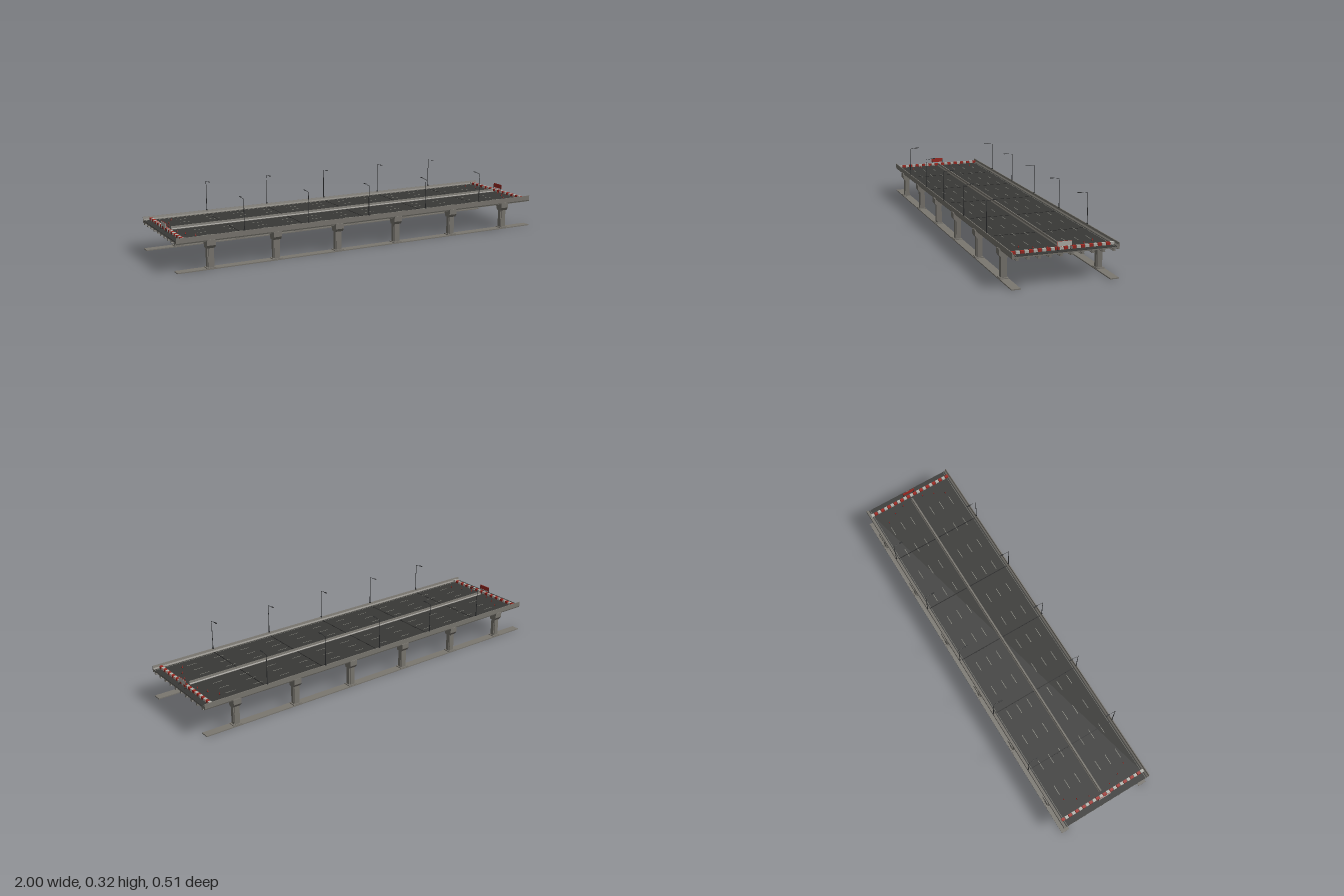
import * as THREE from 'three';

const paint = (color) => new THREE.MeshStandardMaterial({ color });
const concrete = paint(0x7a7770);
const asphalt = paint(0x383836);
const steel = paint(0x2c2d2e);
const lineWhite = paint(0x85857c);
const red = paint(0xa02820);
const white = paint(0xb4b3ac);
const darkJoint = paint(0x1e1e1e);

function add(parent, name, geometry, material, x = 0, y = 0, z = 0) {
  const mesh = new THREE.Mesh(geometry, material);
  mesh.name = name;
  mesh.position.set(x, y, z);
  parent.add(mesh);
  return mesh;
}

function box(parent, name, material, sx, sy, sz, x, y, z) {
  return add(parent, name, new THREE.BoxGeometry(sx, sy, sz), material, x, y, z);
}

// Sweeps a [z, y] outline along x, centred on x = 0
function sweep(outline, length) {
  const shape = new THREE.Shape(outline.map(([z, y]) => new THREE.Vector2(-z, y)));
  const geometry = new THREE.ExtrudeGeometry(shape, { depth: length, bevelEnabled: false });
  geometry.translate(0, 0, -length / 2);
  return geometry.rotateY(Math.PI / 2);
}

const mirrorZ = (outline, side) => outline.map(([z, y]) => [z * side, y]);
const symmetric = (half) => [...half, ...half.slice().reverse().map(([z, y]) => [-z, y])];

const DECK = 0.148;

function createDeck() {
  const deck = new THREE.Group();
  deck.name = 'deck';
  box(deck, 'slab', concrete, 2, 0.005, 0.49, 0, 0.1435, 0);
  box(deck, 'roadSurface', asphalt, 2, 0.002, 0.478, 0, DECK - 0.001, 0);

  // Longitudinal girders with haunched tops and a wider foot
  const girder = sweep(symmetric([
    [0.012, 0.142], [0.005, 0.138], [0.004, 0.134], [0.0065, 0.132], [0.0065, 0.129],
  ]), 2);
  for (let i = 0; i < 10; i++) add(deck, 'girder', girder, concrete, 0, 0, -0.225 + i * 0.05);

  // Edge parapets
  const parapet = [
    [0.236, 0.146], [0.236, 0.15], [0.243, 0.155], [0.2455, 0.165], [0.2495, 0.165],
    [0.2495, 0.141], [0.247, 0.135], [0.24, 0.135],
  ];
  for (const side of [1, -1]) add(deck, 'parapet', sweep(mirrorZ(parapet, side), 2), concrete);

  // Central median barrier
  add(deck, 'median', sweep(symmetric([
    [0.008, 0.146], [0.008, 0.15], [0.004, 0.154], [0.0025, 0.163],
  ]), 1.88), concrete);

  // Lane markings and edge lines
  const dash = new THREE.BoxGeometry(0.053, 0.0006, 0.003);
  for (const side of [1, -1]) {
    box(deck, 'edgeLine', lineWhite, 2, 0.0006, 0.002, 0, DECK, side * 0.229);
    for (const z of [0.06, 0.12, 0.18]) {
      for (let i = 0; i < 12; i++) add(deck, 'laneDash', dash, lineWhite, -0.825 + i * 0.15, DECK, side * z);
    }
  }

  // Expansion joints
  for (let i = -2; i <= 2; i++) box(deck, 'expansionJoint', darkJoint, 0.004, 0.0008, 0.474, i / 3, DECK, 0);
  return deck;
}

function createPier() {
  const pier = new THREE.Group();
  pier.name = 'pier';
  // Cross beam with deeper ends
  add(pier, 'crossBeam', sweep(symmetric([
    [0.253, 0.142], [0.253, 0.116], [0.243, 0.108], [0.214, 0.108], [0.2, 0.128],
  ]), 0.034), concrete);
  for (const side of [1, -1]) {
    const capital = [
      [0.254, 0.14], [0.254, 0.115], [0.243, 0.1], [0.214, 0.1], [0.207, 0.118], [0.2, 0.13], [0.2, 0.14],
    ];
    add(pier, 'capital', sweep(mirrorZ(capital, side), 0.042), concrete);
    box(pier, 'column', concrete, 0.034, 0.105, 0.02, 0, 0.0525, side * 0.2285);
    box(pier, 'columnRib', concrete, 0.024, 0.105, 0.028, 0, 0.0525, side * 0.2285);
    box(pier, 'plinth', concrete, 0.048, 0.009, 0.038, 0, 0.0045, side * 0.23);
  }
  return pier;
}

// Lamp on the +z edge, its arm reaching over the road
function createLamp() {
  const lamp = new THREE.Group();
  lamp.name = 'streetLamp';
  box(lamp, 'lampBase', steel, 0.007, 0.006, 0.005, 0, 0.166, 0.247);
  add(lamp, 'pole', new THREE.CylinderGeometry(0.0012, 0.002, 0.151, 8), steel, 0, 0.2385, 0.247);
  const path = new THREE.LineCurve3(new THREE.Vector3(0, 0.313, 0.247), new THREE.Vector3(0, 0.317, 0.214));
  add(lamp, 'arm', new THREE.TubeGeometry(path, 1, 0.001, 6), steel);
  box(lamp, 'lampHead', steel, 0.006, 0.0025, 0.018, 0, 0.317, 0.206);
  return lamp;
}

// Road closure across the +x end: striped blocks, sign and tapering cones
function createClosure() {
  const closure = new THREE.Group();
  closure.name = 'roadClosure';
  const block = sweep(symmetric([[0.0092, DECK], [0.0085, 0.16]]), 0.014);
  for (let i = 0; i < 24; i++) {
    add(closure, 'barrierBlock', block, i % 2 ? white : red, 0.962, 0, 0.23 - i * 0.02);
  }
  box(closure, 'signBack', red, 0.002, 0.023, 0.07, 0.974, 0.1765, 0);
  box(closure, 'signFace', white, 0.001, 0.021, 0.067, 0.9755, 0.1765, 0);
  for (const side of [1, -1]) {
    box(closure, 'signLeg', steel, 0.002, 0.03, 0.002, 0.972, 0.162, side * 0.031);
    box(closure, 'signFoot', steel, 0.016, 0.002, 0.004, 0.974, 0.149, side * 0.031);
    [[0.93, 0.06], [0.91, 0.12], [0.88, 0.175]].forEach(([x, z]) => {
      box(closure, 'coneBase', steel, 0.008, 0.001, 0.008, x, DECK + 0.0005, side * z);
      add(closure, 'cone', new THREE.CylinderGeometry(0.0007, 0.003, 0.01, 10), red, x, DECK + 0.006, side * z);
    });
  }
  return closure;
}

export function createModel() {
  const model = new THREE.Group();
  model.name = 'elevatedRoad';
  model.add(createDeck());

  // Ground strips under the columns
  for (const side of [1, -1]) box(model, 'groundStrip', concrete, 2, 0.005, 0.042, 0, 0.0025, side * 0.23);

  for (let i = 0; i < 6; i++) {
    const pier = createPier();
    pier.position.x = (i - 2.5) / 3;
    model.add(pier);
  }

  for (let i = -2; i <= 2; i++) {
    for (const turn of [0, Math.PI]) {
      const lamp = createLamp();
      lamp.position.x = i / 3;
      lamp.rotation.y = turn;
      model.add(lamp);
    }
  }

  for (const turn of [0, Math.PI]) {
    const closure = createClosure();
    closure.rotation.y = turn;
    model.add(closure);
  }
  return model;
}
